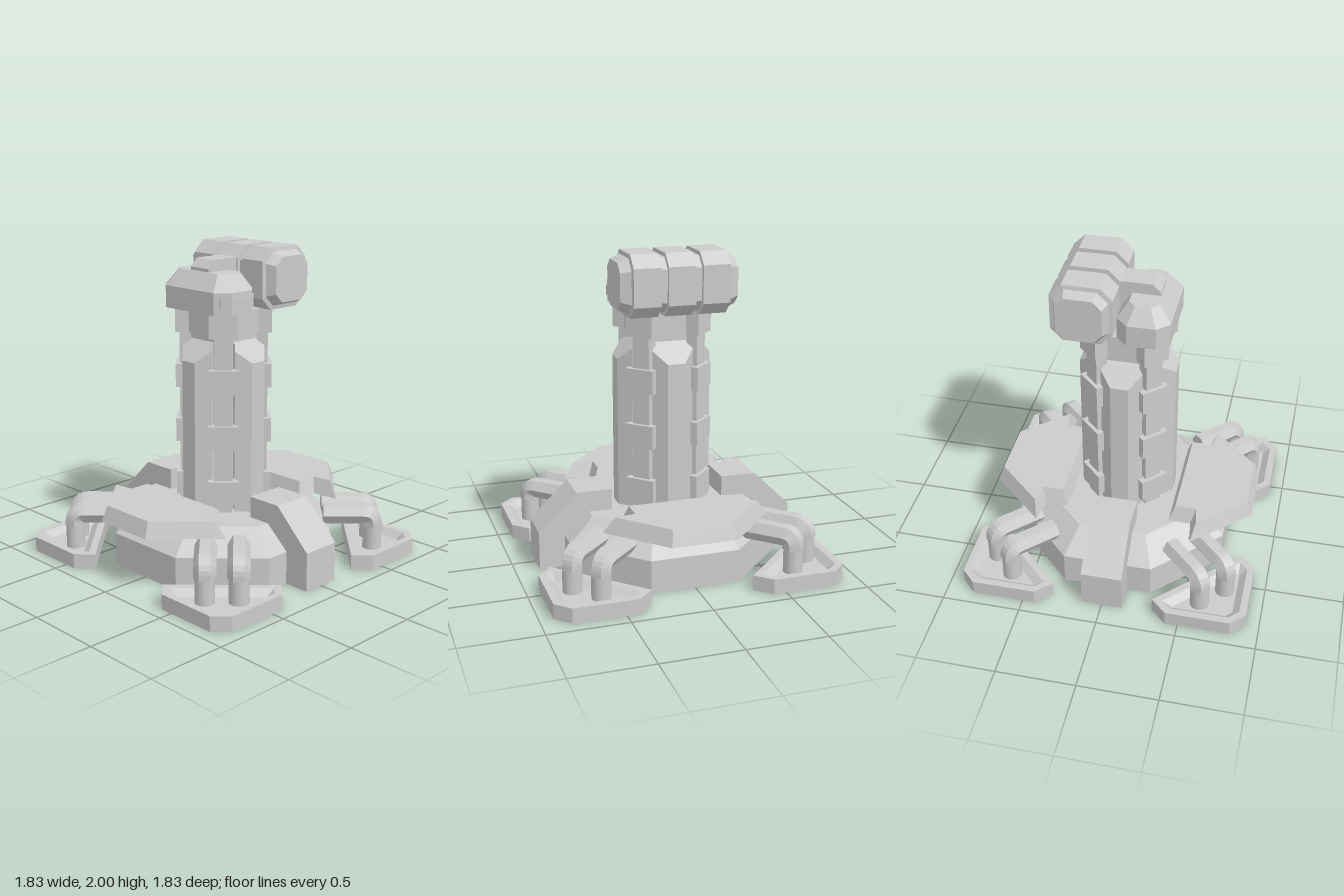
import * as THREE from 'three';

const mat = new THREE.MeshStandardMaterial({ color: 0xcccccc, flatShading: true, side: THREE.DoubleSide });
const smoothMat = new THREE.MeshStandardMaterial({ color: 0xcccccc });

// Octagonal plan: half sizes a and b, corner cut c
function oct(a, b = a, c = a * 0.586, cx = 0) {
  return [[a, c - b], [a, b - c], [a - c, b], [c - a, b], [-a, b - c], [-a, c - b], [c - a, -b], [a - c, -b]]
    .map(([x, z]) => [x + cx, z]);
}

// Four-fold plan made by turning one quadrant
function fourfold(quadrant) {
  const pts = [];
  for (let k = 0, q = quadrant; k < 4; k++, q = q.map(([x, z]) => [-z, x])) pts.push(...q);
  return pts;
}

// Move every edge of a plan inwards by d
function inset(pts, d) {
  const n = pts.length;
  const normal = (p, q) => {
    const l = Math.hypot(q[0] - p[0], q[1] - p[1]);
    return [-(q[1] - p[1]) / l, (q[0] - p[0]) / l];
  };
  return pts.map((p, i) => {
    const a = normal(pts[(i + n - 1) % n], p), b = normal(p, pts[(i + 1) % n]);
    const k = d / (1 + a[0] * b[0] + a[1] * b[1]);
    return [p[0] + (a[0] + b[0]) * k, p[1] + (a[1] + b[1]) * k];
  });
}

// Skin a stack of plans and cap both ends; each level is [height or height rule, plan]
function loft(levels) {
  const flip = THREE.ShapeUtils.area(levels[0][1].map(p => new THREE.Vector2(...p))) < 0;
  const rings = levels.map(([y, plan]) => {
    const ring = plan.map(([x, z]) => new THREE.Vector3(x, typeof y === 'function' ? y(x, z) : y, z));
    return flip ? ring.reverse() : ring;
  });
  const out = [];
  for (let r = 0; r + 1 < rings.length; r++) {
    const a = rings[r], b = rings[r + 1], n = a.length;
    for (let i = 0; i < n; i++) {
      const j = (i + 1) % n;
      out.push(a[i], b[i], a[j], b[i], b[j], a[j]);
    }
  }
  const cap = (ring, up) => {
    const tris = THREE.ShapeUtils.triangulateShape(ring.map(p => new THREE.Vector2(p.x, p.z)), []);
    for (const [i, j, k] of tris) out.push(...(up ? [ring[i], ring[k], ring[j]] : [ring[i], ring[j], ring[k]]));
  };
  cap(rings[0], false);
  cap(rings[rings.length - 1], true);
  const g = new THREE.BufferGeometry().setFromPoints(out);
  g.computeVertexNormals();
  return g;
}

// Side profile of [x, y] points extruded to a centred width along z
function slab(points, width) {
  const shape = new THREE.Shape(points.map(p => new THREE.Vector2(...p)));
  return new THREE.ExtrudeGeometry(shape, { depth: width, bevelEnabled: false }).translate(0, 0, -width / 2);
}

export function createModel() {
  const model = new THREE.Group();
  const add = (name, geometry, angle = 0, material = mat) => {
    const mesh = new THREE.Mesh(geometry, material);
    mesh.name = name;
    mesh.rotation.y = angle;
    model.add(mesh);
    return mesh;
  };

  // Octagonal base with a shallow dished underside
  add('base', loft([[0.05, oct(0.53)], [0, oct(0.68)], [0.21, oct(0.68)], [0.35, oct(0.52)]]));

  // Front and back braces
  const brace = slab([[0.37, 0], [0.37, 0.485], [0.6, 0.485], [0.845, 0.245], [0.845, 0]], 0.26);
  add('frontBrace', brace, -Math.PI / 2);
  add('backBrace', brace, Math.PI / 2);

  // Side wings with bevelled edges
  const wingHalf = [[0.85, 0.205], [0.5, 0.53], [0.475, 0.365], [0.335, 0.365]];
  const wingPlan = [...wingHalf, ...wingHalf.slice().reverse().map(([x, z]) => [x, -z])];
  const wing = loft([[0.355, wingPlan], [0.455, inset(wingPlan, 0.036)]]);
  add('leftWing', wing);
  add('rightWing', wing, Math.PI);

  // Footpads: dished below, shallow tray above
  const footPlan = [[0.32, 0.82], [0.82, 0.32], [0.915, 0.42], [0.915, 0.825], [0.825, 0.915], [0.42, 0.915]];
  const foot = loft([
    [0.035, inset(footPlan, 0.07)], [0, footPlan], [0.095, footPlan],
    [0.095, inset(footPlan, 0.045)], [0.055, inset(footPlan, 0.09)],
  ]);

  // Leg pipe: round upright, then a six-sided bend and arm running inwards
  const bendY = 0.225, armY = 0.285, bendR = armY - bendY, armEnd = -0.32;
  const v = (x, y) => new THREE.Vector3(x, y, 0);
  const path = new THREE.CurvePath();
  path.add(new THREE.LineCurve3(v(0, bendY - 0.02), v(0, bendY)));
  path.add(new THREE.QuadraticBezierCurve3(v(0, bendY), v(0, armY), v(-bendR, armY)));
  path.add(new THREE.LineCurve3(v(-bendR, armY), v(armEnd, armY)));
  const upright = new THREE.CylinderGeometry(0.06, 0.06, 0.2, 20).translate(0, 0.133, 0);
  const arm = new THREE.TubeGeometry(path, 24, 0.068, 6, false);
  const armCap = new THREE.CircleGeometry(0.068, 6).rotateY(-Math.PI / 2).translate(armEnd, armY, 0);

  for (let k = 0; k < 4; k++) {
    const angle = k * Math.PI / 2;
    add('footpad', foot, angle);
    for (const [x, z] of [[0.61, 0.75], [0.75, 0.61]]) {
      const place = g => g.clone().rotateY(-Math.PI / 4).translate(x, 0, z);
      add('legUpright', place(upright), angle, smoothMat);
      add('legArm', place(arm), angle);
      add('legArmEnd', place(armCap), angle);
    }
  }

  // Column core and collar with raised diagonal strips
  const core = fourfold([[0.185, 0.105], [0.235, 0.155], [0.155, 0.235], [0.105, 0.185]]);
  const collar = fourfold([[0.215, 0.09], [0.275, 0.15], [0.15, 0.275], [0.09, 0.215]]);
  add('columnCore', loft([[0.045, core], [1.48, core]]));
  add('collar', loft([[1.47, collar], [1.622, collar]]));

  // Chamfered pillars with sloping tops, and clips between them
  const pillarPlan = [[-0.1, 0.17], [0.1, 0.17], [0.1, 0.2], [0.13, 0.23], [0.055, 0.305],
    [-0.055, 0.305], [-0.13, 0.23], [-0.1, 0.2]];
  const pillar = loft([[0.045, pillarPlan], [(x, z) => 1.31 + (0.305 - z), pillarPlan]]);
  for (let k = 0; k < 4; k++) {
    add('pillar', pillar, k * Math.PI / 2);
    for (const y of [0.485, 0.84, 1.195]) {
      const clip = new THREE.BoxGeometry(0.19, 0.15, 0.07).translate(0, y, 0.265);
      add('clip', clip, Math.PI / 4 + k * Math.PI / 2);
    }
  }

  // Grooved barrel lying front to back, with stepped and tapered ends
  const half = [[0.368, 0.14], [0.305, 0.165], [0.30, 0.19], [0.13, 0.19], [0.13, 0.165], [0.085, 0.165], [0.085, 0.19]];
  const profile = [...half.map(([z, a]) => [-z, a]), ...half.slice().reverse()];
  const barrel = add('barrel', loft(profile.map(([z, a]) => [z, oct(a, a, a * 0.39)])));
  barrel.rotation.x = Math.PI / 2;
  barrel.position.set(0.224, 1.81, 0);

  // Sensor head beside the barrel
  add('sensorHead', loft([
    [1.622, oct(0.163, 0.288, 0.075, -0.13)],
    [1.76, oct(0.163, 0.288, 0.075, -0.13)],
    [1.86, oct(0.092, 0.215, 0.045, -0.125)],
  ]));
  const visorPlan = oct(0.14, 0.196, 0.05, -0.127);
  add('visor', loft([[1.662, visorPlan], [1.728, visorPlan]]).translate(0, 0, 0.1));

  // Bridge joining head and barrel
  add('bridge', slab([[-0.205, 1.78], [-0.205, 1.88], [-0.155, 1.93], [0.07, 1.93], [0.07, 1.78]], 0.155));

  return model;
}
